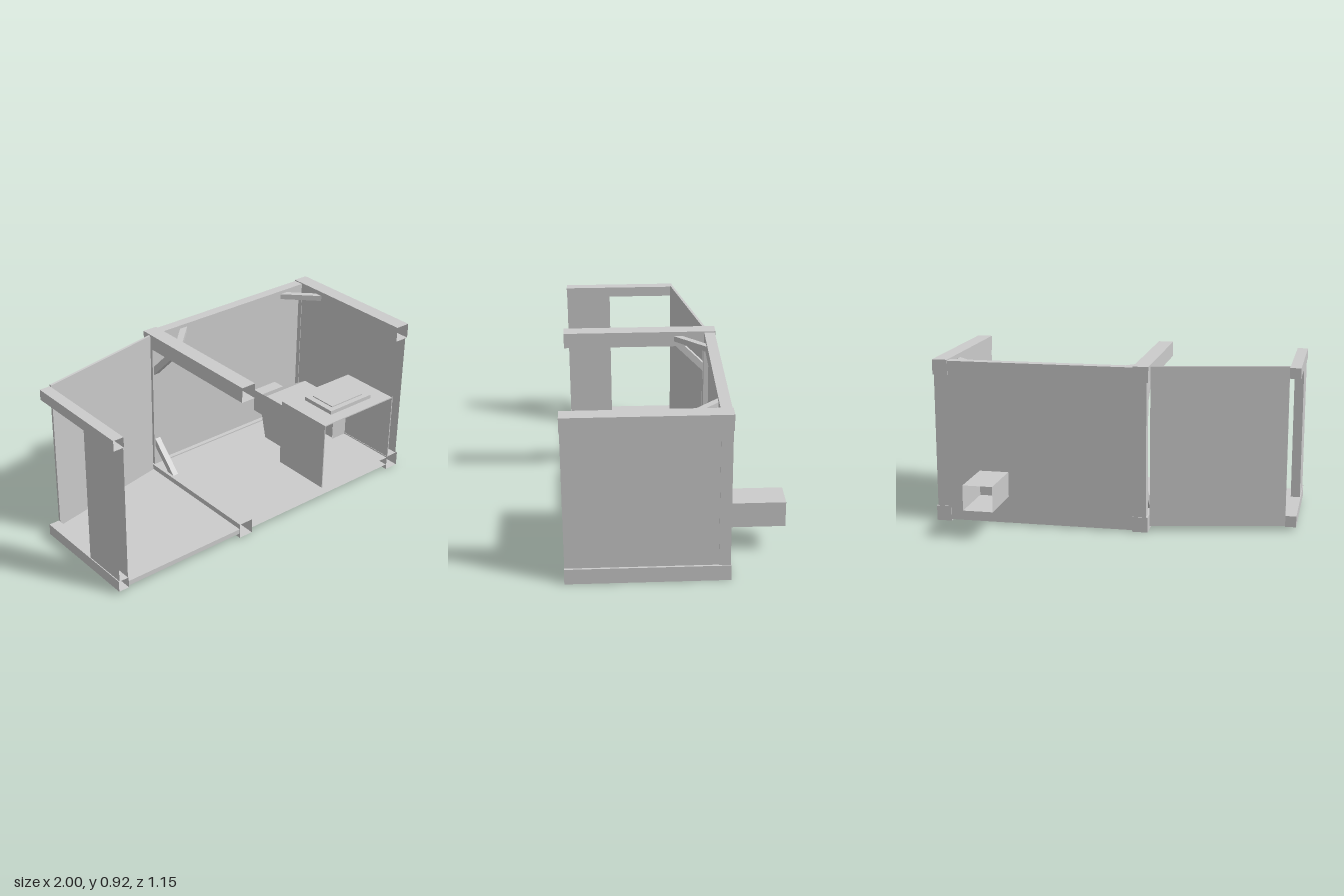
import * as THREE from 'three';

const material = new THREE.MeshStandardMaterial({ color: 0xcccccc, side: THREE.DoubleSide, flatShading: true });

export function createModel() {
  const model = new THREE.Group();

  function add(name, geometry) {
    const mesh = new THREE.Mesh(geometry, material);
    mesh.name = name;
    model.add(mesh);
    return mesh;
  }

  // Box given by its limits; openFront leaves out the +z face
  function box(name, [x0, x1], [y0, y1], [z0, z1], openFront = false) {
    const g = new THREE.BoxGeometry(x1 - x0, y1 - y0, z1 - z0);
    if (openFront) {
      const index = Array.from(g.index.array);
      index.splice(24, 6);
      g.setIndex(index);
      g.clearGroups();
    }
    g.translate((x0 + x1) / 2, (y0 + y1) / 2, (z0 + z1) / 2);
    return add(name, g);
  }

  function extrude(points, depth) {
    const shape = new THREE.Shape(points.map(([x, y]) => new THREE.Vector2(x, y)));
    return new THREE.ExtrudeGeometry(shape, { depth, bevelEnabled: false });
  }

  // Plan outline (x, z) raised from y0 to y1
  function slab(name, outline, y0, y1) {
    const g = extrude(outline.map(([x, z]) => [x, -z]), y1 - y0);
    g.rotateX(-Math.PI / 2).translate(0, y0, 0);
    return add(name, g);
  }

  // Main room: hollow side beams, cut off at the front
  for (const x of [[-0.205, -0.12], [0.915, 1]]) {
    box('lowerSideBeam', x, [0, 0.085], [-0.272, 0.572], true);
    box('upperSideBeam', x, [0.835, 0.92], [-0.272, 0.572], true);
  }
  for (const x of [[-0.195, -0.12], [0.915, 0.993]]) {
    box('cornerPost', x, [0.085, 0.835], [-0.268, -0.208]);
  }
  for (const y of [[0.008, 0.085], [0.835, 0.914]]) {
    box('backBeam', [-0.12, 0.915], y, [-0.268, -0.21]);
  }
  box('backWall', [-0.12, 0.915], [0.085, 0.835], [-0.268, -0.235]);
  box('sideWall', [0.918, 0.988], [0.085, 0.835], [-0.208, 0.57], true);
  box('mainFloor', [-0.12, 0.915], [0.03, 0.078], [-0.21, 0.57], true);

  // Annex: end beams, half-width end panel, floor and slanted back wall
  box('lowerEndBeam', [-1, -0.94], [0.018, 0.08], [-0.075, 0.572], true);
  box('upperEndBeam', [-1, -0.94], [0.848, 0.906], [-0.075, 0.572], true);
  box('endPanel', [-0.995, -0.943], [0.08, 0.848], [0.31, 0.57], true);
  slab('annexFloor', [[-0.94, 0.57], [-0.205, 0.57], [-0.205, -0.21], [-0.94, -0.065]], 0.028, 0.055);
  slab('slantedWall', [[-0.94, -0.061], [-0.208, -0.207], [-0.208, -0.221], [-0.94, -0.075]], 0.022, 0.915);

  // Diagonal braces, all sharing one corner profile
  const profile = [[0, 0.17], [0, 0.12], [0.12, 0], [0.17, 0]];
  for (const [cornerX, s] of [[-0.12, 1], [0.915, -1]]) {
    slab('cornerBrace', profile.map(([a, b]) => [cornerX + s * a, -0.21 + b]), 0.864, 0.895);
  }
  for (const [cornerY, s] of [[0.085, 1], [0.835, -1]]) {
    const g = extrude(profile.map(([a, b]) => [0.21 - a, cornerY + s * b]), 0.034);
    g.rotateY(Math.PI / 2).translate(-0.188, 0, 0);
    add('postBrace', g);
  }

  // Hearth: box open at the front, its back pierced by the flue
  box('hearthLeftSide', [0.396, 0.402], [0.078, 0.48], [0.215, 0.57]);
  box('hearthRightSide', [0.919, 0.925], [0.078, 0.48], [0.215, 0.57]);
  box('hearthTop', [0.396, 0.925], [0.474, 0.48], [0.215, 0.57]);
  const back = new THREE.Shape([[0.4, 0.078], [0.505, 0.078], [0.505, 0.365], [0.815, 0.365],
    [0.815, 0.078], [0.92, 0.078], [0.92, 0.478], [0.4, 0.478]].map(p => new THREE.Vector2(...p)));
  const backGeometry = new THREE.ShapeGeometry(back);
  backGeometry.translate(0, 0, 0.216);
  add('hearthBack', backGeometry);
  box('hotplateBase', [0.508, 0.815], [0.48, 0.502], [0.285, 0.5]);
  box('hotplate', [0.543, 0.778], [0.502, 0.508], [0.312, 0.47]);

  // Flue: rectangular duct lofted through four sections, open at both ends
  const wide = [0.505, 0.815, 0.085, 0.365], narrow = [0.58, 0.745, 0.16, 0.3];
  const sections = [[0.215, wide], [-0.04, wide], [-0.16, narrow], [-0.575, narrow]];
  const positions = [], indices = [];
  for (const [z, [x0, x1, y0, y1]] of sections) {
    positions.push(x0, y0, z, x1, y0, z, x1, y1, z, x0, y1, z);
  }
  for (let i = 0; i < 3; i++) {
    for (let j = 0; j < 4; j++) {
      const a = i * 4 + j, b = i * 4 + (j + 1) % 4;
      indices.push(a, a + 4, b, b, a + 4, b + 4);
    }
  }
  const indexed = new THREE.BufferGeometry();
  indexed.setAttribute('position', new THREE.Float32BufferAttribute(positions, 3));
  indexed.setIndex(indices);
  const flue = indexed.toNonIndexed();
  flue.computeVertexNormals();
  add('flue', flue);

  return model;
}
